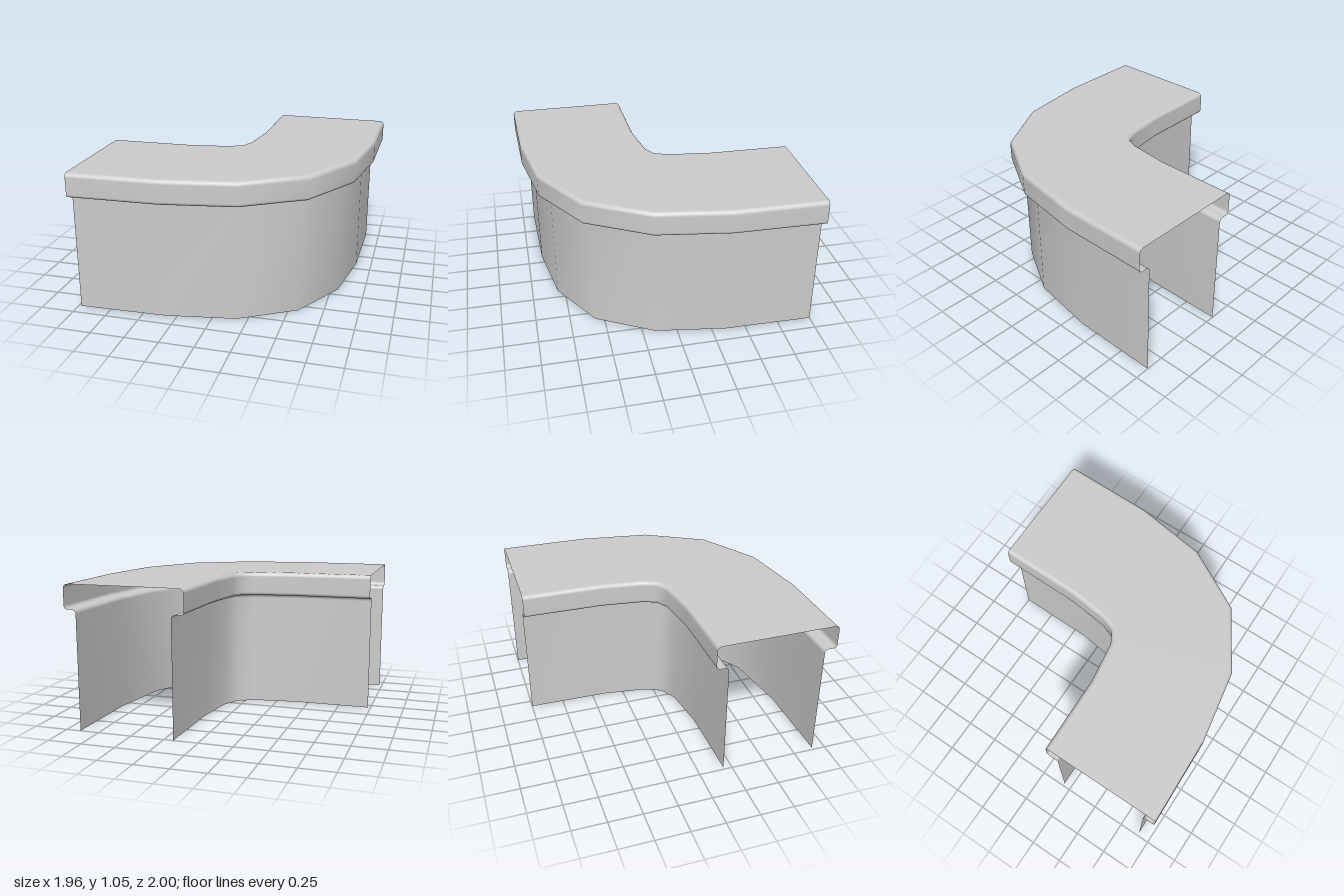
import * as THREE from 'three';

// Plan outlines of the lip, as matching [x, z] points around the bend
const OUTER = [[-0.98, 0.995], [-0.33, 0.978], [0.2, 0.89], [0.635, 0.63], [0.887, 0.185], [0.97, -0.345], [0.98, -1]];
const INNER = [[-0.98, 0.1], [-0.4, 0.09], [-0.09, 0.046], [0, -0.003], [0.04, -0.1], [0.08, -0.41], [0.09, -1]];

// Quarter-round points about (cx, cy), as [inset, height]
function arc(cx, cy, r, from, to, steps = 5) {
  return Array.from({ length: steps + 1 }, (_, i) => {
    const a = THREE.MathUtils.degToRad(from + (to - from) * i / steps);
    return [cx + r * Math.cos(a), cy + r * Math.sin(a)];
  });
}

// Half section: skirt wall, fillet, rounded lip, edge of the flat top
const HALF = [
  [0.09, 0],
  ...arc(0.06, 0.842, 0.03, 0, 90),
  ...arc(0.025, 0.897, 0.025, 270, 180),
  ...arc(0.032, 1.018, 0.032, 180, 90),
];

// Sweep the mirrored section around the bend as one open skin
function sweptCover() {
  const positions = [], indices = [];
  const columns = HALF.length * 2;
  OUTER.forEach((o, i) => {
    const outer = new THREE.Vector2(...o), inner = new THREE.Vector2(...INNER[i]);
    const across = inner.clone().sub(outer).normalize();
    for (const [inset, y] of HALF) {
      const p = outer.clone().addScaledVector(across, inset);
      positions.push(p.x, y, p.y);
    }
    for (const [inset, y] of [...HALF].reverse()) {
      const p = inner.clone().addScaledVector(across, -inset);
      positions.push(p.x, y, p.y);
    }
  });
  for (let i = 0; i < OUTER.length - 1; i++) {
    for (let j = 0; j < columns - 1; j++) {
      const a = i * columns + j, b = a + columns;
      indices.push(a, b, b + 1, a, b + 1, a + 1);
    }
  }
  const geometry = new THREE.BufferGeometry();
  geometry.setAttribute('position', new THREE.Float32BufferAttribute(positions, 3));
  geometry.setIndex(indices);
  geometry.computeVertexNormals();
  return geometry;
}

export function createModel() {
  const group = new THREE.Group();
  group.name = 'curvedCornerCover';
  const material = new THREE.MeshStandardMaterial({ color: 0xcccccc, side: THREE.DoubleSide });
  const cover = new THREE.Mesh(sweptCover(), material);
  cover.name = 'cornerCover';
  group.add(cover);
  return group;
}
